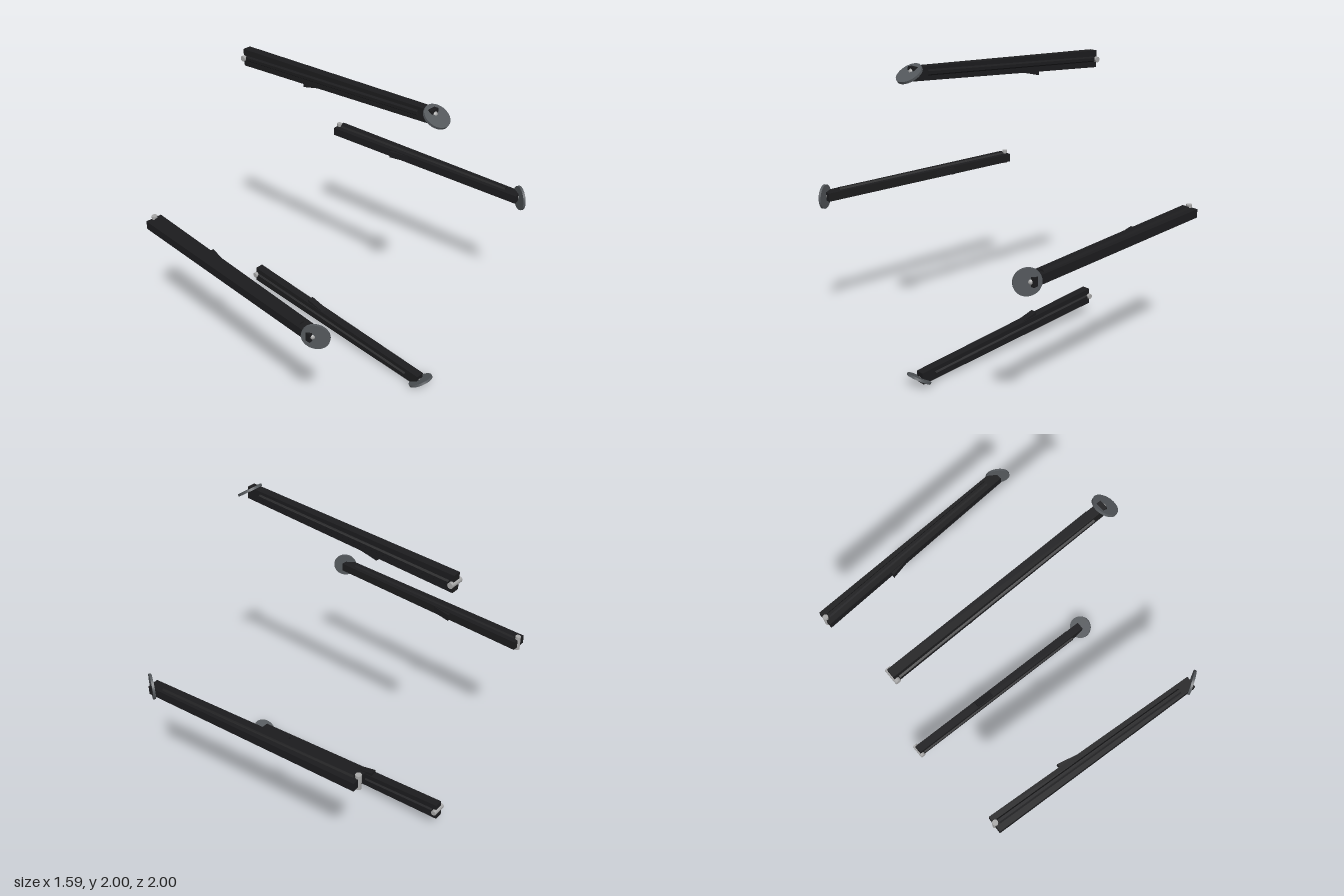
import * as THREE from 'three';

const dark = new THREE.MeshStandardMaterial({ color: 0x1c1c1e, flatShading: true });
const footGrey = new THREE.MeshStandardMaterial({ color: 0x54585c });
const metal = new THREE.MeshStandardMaterial({ color: 0xa8a8a8 });

function add(parent, name, geometry, material, x = 0, y = 0, tilt = 0) {
  const mesh = new THREE.Mesh(geometry, material);
  mesh.name = name;
  mesh.position.set(x, y, 0);
  mesh.rotation.z = tilt;
  parent.add(mesh);
  return mesh;
}

// Flat outline given as [x, y] points, extruded symmetrically about z = 0
function plate(points, depth) {
  const shape = new THREE.Shape(points.map(([x, y]) => new THREE.Vector2(x, y)));
  return new THREE.ExtrudeGeometry(shape, { depth, bevelEnabled: false }).translate(0, 0, -depth / 2);
}

// One strut, drawn with y as the distance from the central x axis
function createLeg() {
  const leg = new THREE.Group();

  // Tapered main beam
  add(leg, 'beam', plate([[-0.785, 0.793], [0.72, 0.91], [0.712, 0.988], [-0.79, 0.903]], 0.056), dark);

  // Bevelled rail standing out along both sides of the beam
  const rail = plate([
    [-0.026, -0.019], [0.026, -0.019], [0.039, -0.009],
    [0.039, 0.009], [0.026, 0.019], [-0.026, 0.019],
    [-0.039, 0.009], [-0.039, -0.009],
  ], 1.38).rotateY(Math.PI / 2);
  add(leg, 'sideRail', rail, dark, -0.07, 0.898, Math.atan2(0.098, 1.38));

  // Wedge on the inner face
  add(leg, 'innerWedge', plate([[-0.265, 0.81], [-0.12, 0.846], [-0.12, 0.86], [-0.265, 0.85]], 0.044), dark);

  // Hinge pin through the upper end
  add(leg, 'hingePin', new THREE.CylinderGeometry(0.018, 0.018, 0.096, 20).rotateX(Math.PI / 2), metal, -0.779, 0.846);

  // Tilted foot pad and its ball joint
  add(leg, 'footPad', new THREE.CylinderGeometry(0.08, 0.08, 0.015, 40), footGrey, 0.725, 0.951, -0.57);
  add(leg, 'ankleBall', new THREE.SphereGeometry(0.018, 20, 14), metal, 0.709, 0.96);
  return leg;
}

export function createModel() {
  const model = new THREE.Group();
  model.name = 'landingLegs';
  ['topLeg', 'frontLeg', 'bottomLeg', 'backLeg'].forEach((name, i) => {
    const leg = createLeg();
    leg.name = name;
    leg.position.y = 1;
    leg.rotation.x = i * Math.PI / 2;
    model.add(leg);
  });
  return model;
}
